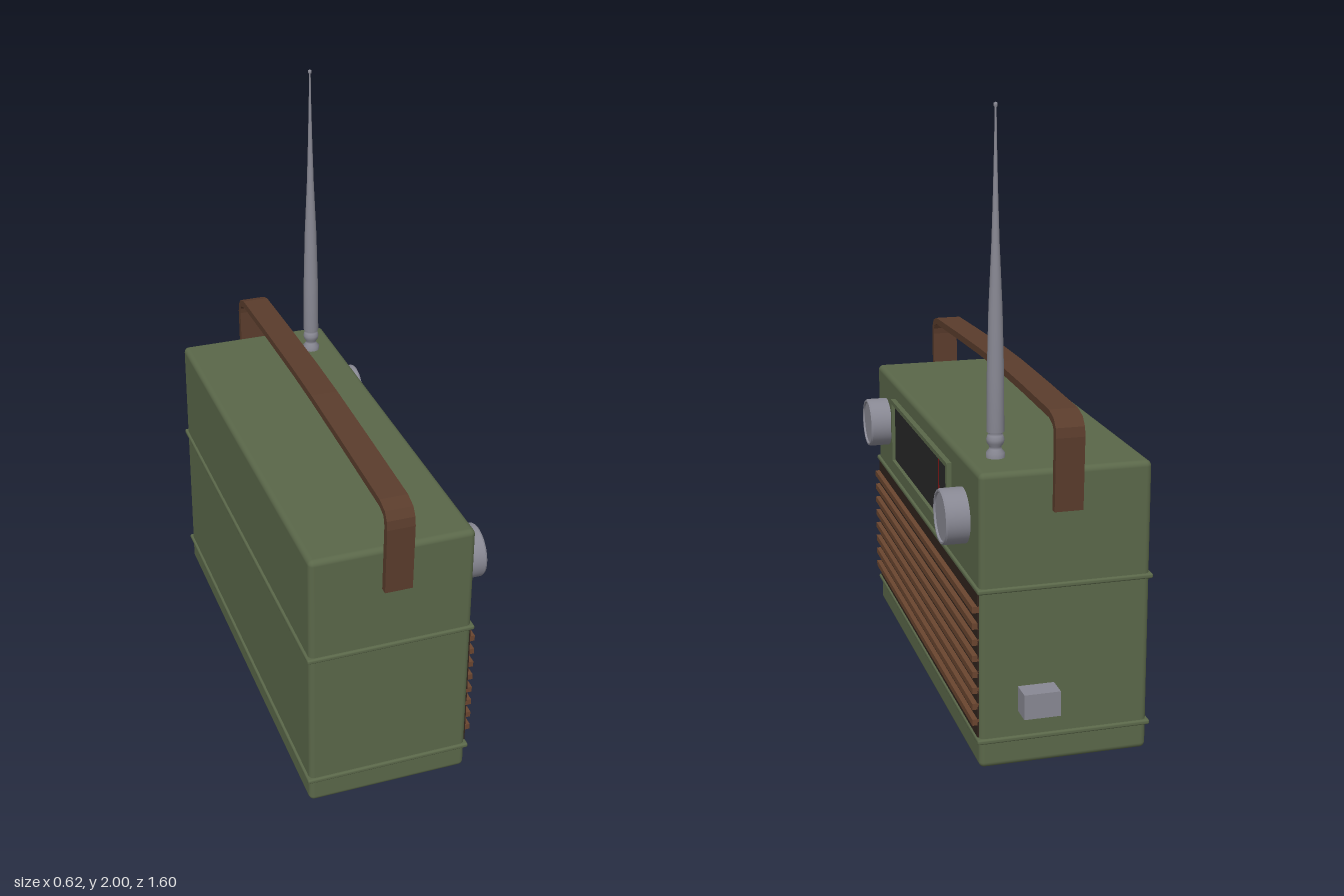
import * as THREE from 'three';
import { RoundedBoxGeometry } from 'three/addons/geometries/RoundedBoxGeometry.js';

const mat = (color, side = THREE.FrontSide) => new THREE.MeshStandardMaterial({ color, side });

export function createModel() {
  const radio = new THREE.Group();
  radio.name = 'portableRadio';
  const green = mat(0x5a6749);
  const leather = mat(0x5a3c2c);
  const wood = mat(0x6a452f);
  const darkWood = mat(0x30231c);
  const metal = mat(0x888893);
  const black = mat(0x272727);
  const red = mat(0x7a1515);

  const add = (name, geometry, material) => {
    const mesh = new THREE.Mesh(geometry, material);
    mesh.name = name;
    radio.add(mesh);
    return mesh;
  };
  // Box given by its extents; r rounds the edges
  const box = (name, material, [x0, x1], [y0, y1], [z0, z1], r = 0) => {
    const size = [x1 - x0, y1 - y0, z1 - z0];
    const g = r ? new RoundedBoxGeometry(...size, 3, r) : new THREE.BoxGeometry(...size);
    add(name, g, material).position.set((x0 + x1) / 2, (y0 + y1) / 2, (z0 + z1) / 2);
  };
  // Extrude a (z, y) outline along x, from x1 back to x0
  const extrudeX = (shape, x0, x1) => {
    const g = new THREE.ExtrudeGeometry(shape, { depth: x1 - x0, bevelEnabled: false });
    return g.rotateY(-Math.PI / 2).translate(x1, 0, 0);
  };
  const rect = (z0, z1, y0, y1) =>
    [[z0, y0], [z1, y0], [z1, y1], [z0, y1]].map((p) => new THREE.Vector2(...p));

  // Case with two raised trim bands
  box('case', green, [-0.305, 0.235], [0, 0.94], [-0.73, 0.75], 0.018);
  for (const y of [0.09, 0.575]) {
    box('trimBand', green, [-0.313, 0.243], [y - 0.008, y + 0.008], [-0.738, 0.758], 0.006);
  }

  // Speaker grille: dark panel with horizontal slats
  box('grillePanel', darkWood, [0.22, 0.239], [0.1, 0.566], [-0.718, 0.736]);
  for (let i = 0; i < 8; i++) {
    const y = 0.151 + i * 0.0521;
    box('grilleSlat', wood, [0.23, 0.255], [y - 0.01, y + 0.01], [-0.718, 0.736]);
  }

  // Tuning display: frame, dark window and needle
  const frame = new THREE.Shape(rect(-0.395, 0.442, 0.64, 0.88));
  frame.holes.push(new THREE.Path(rect(-0.38, 0.427, 0.655, 0.865)));
  add('displayFrame', extrudeX(frame, 0.225, 0.252), green);
  box('displayWindow', black, [0.22, 0.24], [0.65, 0.87], [-0.385, 0.432]);
  box('tuningNeedle', red, [0.238, 0.242], [0.657, 0.863], [-0.249, -0.243]);

  // Two knobs with a slightly recessed face
  const knobProfile = [[0.087, 0], [0.087, 0.08], [0.083, 0.086], [0.077, 0.086], [0.075, 0.08], [0, 0.08]];
  // Repeated points keep the profile's edges crisp
  const crisp = (pts) => pts.flatMap((p) => [new THREE.Vector2(...p), new THREE.Vector2(...p)]);
  for (const z of [0.597, -0.541]) {
    const g = new THREE.LatheGeometry(crisp(knobProfile), 40).rotateZ(-Math.PI / 2);
    add('knob', g, metal).position.set(0.224, 0.757, z);
  }

  // Telescopic antenna on a ball joint
  const antennaProfile = [
    [0.029, 0.935], [0.029, 0.955], [0.019, 0.967], [0.019, 0.975], [0.026, 0.985], [0.028, 0.997],
    [0.024, 1.01], [0.017, 1.018], [0.027, 1.02], [0.026, 1.2], [0.021, 1.4], [0.012, 1.6],
    [0.0075, 1.75], [0.004, 1.9], [0.003, 1.985], [0.006, 1.988], [0.006, 1.997], [0, 2],
  ];
  const antenna = new THREE.LatheGeometry(antennaProfile.map((p) => new THREE.Vector2(...p)), 20);
  add('antenna', antenna, metal).position.set(0.14, 0, -0.563);

  // Carrying strap: a centre line thickened to both sides
  const line = [
    [0.785, 0.812], [0.791, 1.04], [0.787, 1.065], [0.774, 1.085], [0.735, 1.098], [0.4, 1.108],
    [0.1, 1.115], [-0.1, 1.115], [-0.4, 1.108], [-0.685, 1.098], [-0.725, 1.085], [-0.742, 1.065],
    [-0.746, 1.04], [-0.738, 0.812],
  ].map((p) => new THREE.Vector2(...p));
  const offset = (d) => line.map((p, i) => {
    const t = line[Math.min(i + 1, line.length - 1)].clone().sub(line[Math.max(i - 1, 0)]).normalize();
    return new THREE.Vector2(p.x - t.y * d, p.y + t.x * d);
  });
  const strap = new THREE.Shape([...offset(0.012), ...offset(-0.012).reverse()]);
  add('carryingStrap', extrudeX(strap, -0.08, 0.01), leather);

  // Socket block on the end
  box('sideSocket', metal, [0, 0.115], [0.18, 0.26], [-0.8, -0.72]);

  return radio;
}
